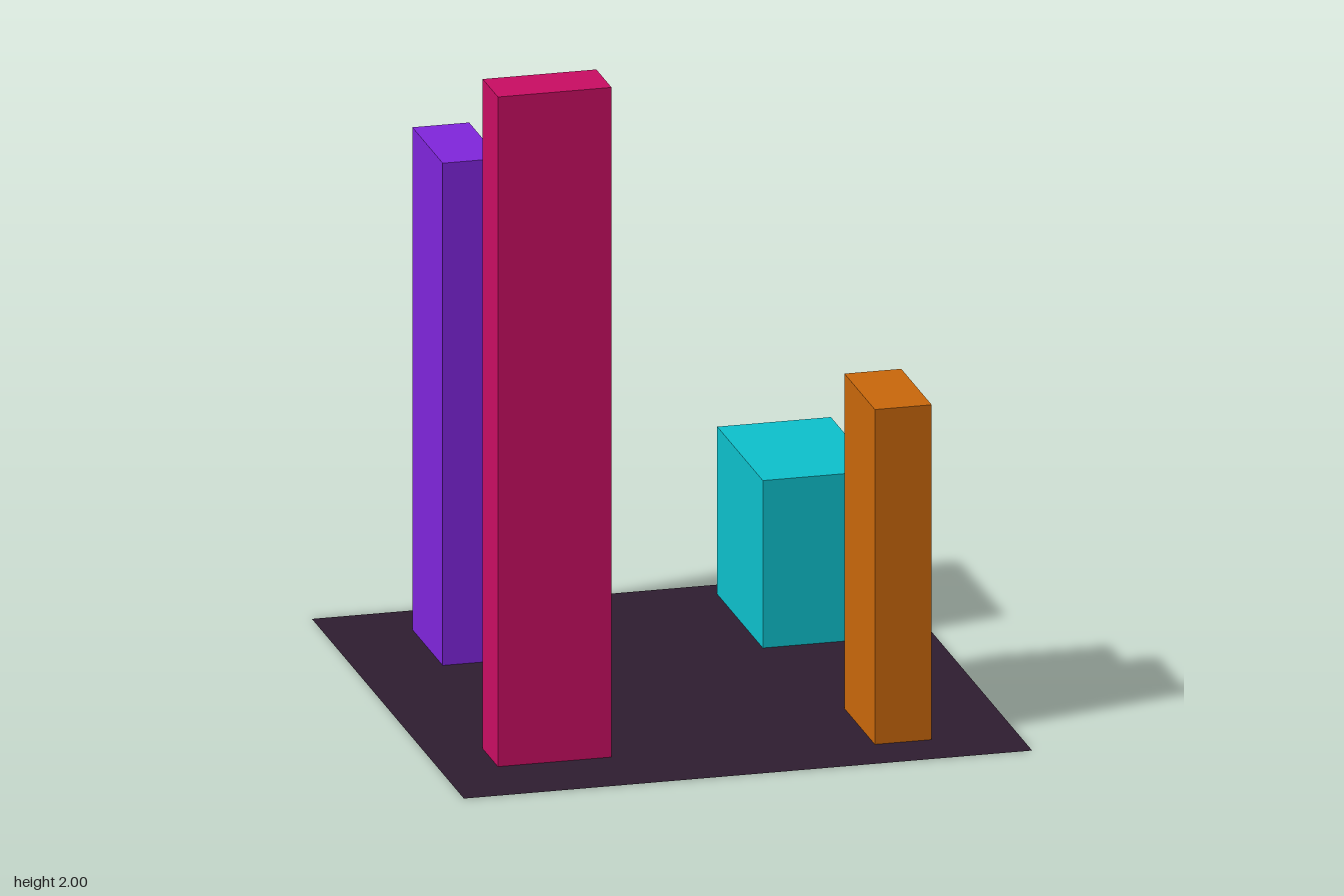
import * as THREE from 'three';

const U = 1 / 6; // grid unit of the layout

function block(name, color, [w, h, d], x, z) {
  const mesh = new THREE.Mesh(
    new THREE.BoxGeometry(w * U, h * U, d * U),
    new THREE.MeshStandardMaterial({ color })
  );
  mesh.name = name;
  // a hair above the ground so the coplanar faces do not flicker
  mesh.position.set(x * U, (h * U) / 2 + 0.0005, z * U);
  return mesh;
}

export function createModel() {
  const model = new THREE.Group();
  model.name = 'blocksOnGround';

  // flat square ground sheet
  const ground = new THREE.Mesh(
    new THREE.PlaneGeometry(10 * U, 10 * U).rotateX(-Math.PI / 2),
    new THREE.MeshStandardMaterial({ color: 0x2e1d30, side: THREE.DoubleSide })
  );
  ground.name = 'ground';
  model.add(ground);

  // one block in each quarter: size in units, then x and z
  model.add(
    block('tallPinkBlock', 0xc80d62, [2, 12, 1], -3, 3),
    block('purpleBlock', 0x7f25db, [1, 9, 2], -3, -3),
    block('orangeBlock', 0xc8670b, [1, 6, 2], 3, 3),
    block('lowCyanBlock', 0x0dc0cc, [2, 3, 3], 3, -3)
  );
  return model;
}
